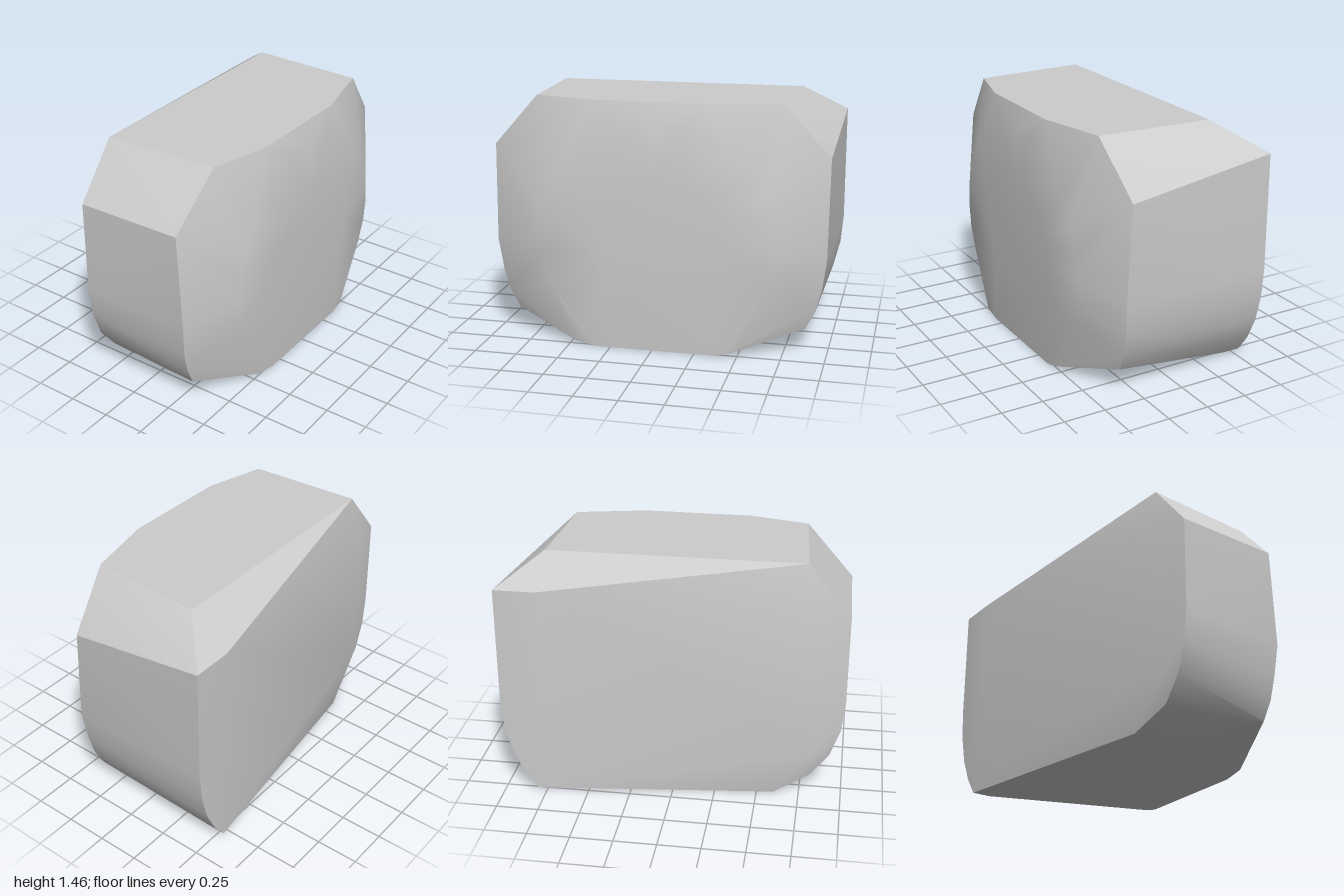
import * as THREE from 'three';
import { ConvexGeometry } from 'three/addons/geometries/ConvexGeometry.js';
import { toCreasedNormals } from 'three/addons/utils/BufferGeometryUtils.js';

const v = (x, y, z) => new THREE.Vector3(x, y, z);

// Elliptical ring of points facing the front
function ring(rx, ry, z, count) {
  return Array.from({ length: count }, (_, i) => {
    const a = (i / count) * Math.PI * 2;
    return v(0.02 + rx * Math.cos(a), 0.665 + ry * Math.sin(a), z);
  });
}

export function createModel() {
  const grey = new THREE.MeshStandardMaterial({ color: 0xcccccc });
  grey.name = 'plain grey';

  const points = [
    // shallow domed front disc
    ...ring(0.7, 0.665, 0.518, 28),
    ...ring(0.4, 0.38, 0.54, 16),
    // flat top
    v(-0.71, 1.455, 0.375), v(-0.35, 1.455, 0.47), v(0.3, 1.455, 0.475),
    v(0.72, 1.455, 0.38), v(0.75, 1.455, -0.3), v(-0.75, 1.455, -0.3),
    // back slope on the left, soft back edge on the right
    v(0.76, 1.29, -0.54), v(1, 1.29, -0.54),
    v(-0.83, 1.15, -0.34), v(-0.83, 0.28, -0.34),
    // flat underside
    v(-0.33, 0, 0.52), v(0.37, 0, 0.52), v(0.46, 0.02, 0.515), v(-0.46, 0.02, 0.51),
    v(0.56, 0, -0.35), v(-0.6, 0, -0.35), v(-0.62, 0, -0.2),
    v(0.8, 0.02, -0.43),
  ];

  // front edges of both sides, mirrored
  for (const s of [-1, 1]) {
    for (const [x, y, z] of [[0.99, 1.15, 0.33], [0.985, 0.57, 0.36],
      [0.96, 0.38, 0.345], [0.925, 0.25, 0.34], [0.87, 0.14, 0.33]]) {
      points.push(v(s * x, y, z));
    }
  }
  // back edges of the sides, curving under at the bottom
  for (const [x, y] of [[1, 0.6], [0.985, 0.43], [0.945, 0.27], [0.88, 0.13], [0.8, 0.02]]) {
    points.push(v(x, y, -0.54));
  }
  for (const [x, y] of [[-1, 1.15], [-1, 0.6], [-0.98, 0.42], [-0.92, 0.25], [-0.81, 0.11]]) {
    points.push(v(x, y, -0.3));
  }

  const geometry = toCreasedNormals(new ConvexGeometry(points), THREE.MathUtils.degToRad(29));
  const body = new THREE.Mesh(geometry, grey);
  body.name = 'facetedBody';

  const group = new THREE.Group();
  group.name = 'facetedBlock';
  group.add(body);
  return group;
}
